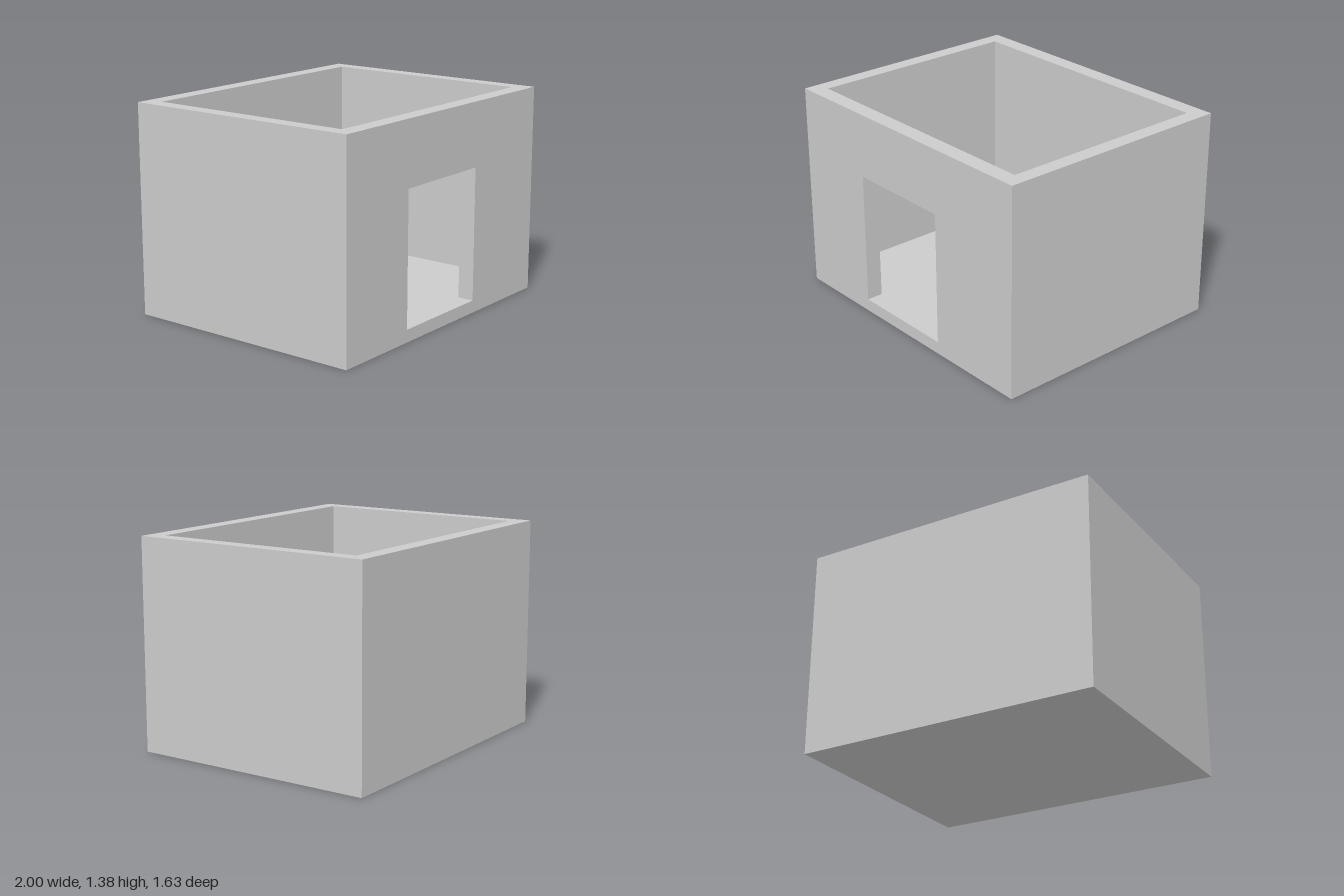
import * as THREE from 'three';

const W = 2, H = 1.375, D = 1.63;        // outer size
const T = 0.1, T_Z = 0.108;              // side and front/back wall thickness
const FLOOR = 0.082;                     // floor height, flush with the door sill
const DOOR = { left: -0.405, right: 0.315, top: 0.955 };

const material = new THREE.MeshStandardMaterial({ color: 0xcccccc, flatShading: true });

const polygon = (points) => new THREE.Shape(points.map(([x, y]) => new THREE.Vector2(x, y)));
const extrude = (shape, depth) => new THREE.ExtrudeGeometry(shape, { depth, bevelEnabled: false });

export function createModel() {
  const group = new THREE.Group();
  group.name = 'roofless room';
  const add = (name, geometry) => {
    const mesh = new THREE.Mesh(geometry, material);
    mesh.name = name;
    group.add(mesh);
    return mesh;
  };
  const x = W / 2, z = D / 2, xi = x - T, zi = z - T_Z;

  // Front wall with an off-centre doorway
  const front = polygon([[-x, 0], [x, 0], [x, H], [-x, H]]);
  front.holes.push(polygon([
    [DOOR.left, FLOOR], [DOOR.left, DOOR.top], [DOOR.right, DOOR.top], [DOOR.right, FLOOR],
  ]));
  add('frontWall', extrude(front, T_Z)).position.z = zi;

  // Back and side walls as one U-shaped plan, extruded upwards (plan y becomes -z)
  const plan = polygon([
    [-x, -zi], [-xi, -zi], [-xi, zi], [xi, zi], [xi, -zi], [x, -zi], [x, z], [-x, z],
  ]);
  add('backAndSideWalls', extrude(plan, H).rotateX(-Math.PI / 2));

  // Floor slab between the walls
  add('floor', new THREE.BoxGeometry(2 * xi, FLOOR, 2 * zi)).position.y = FLOOR / 2;

  return group;
}
